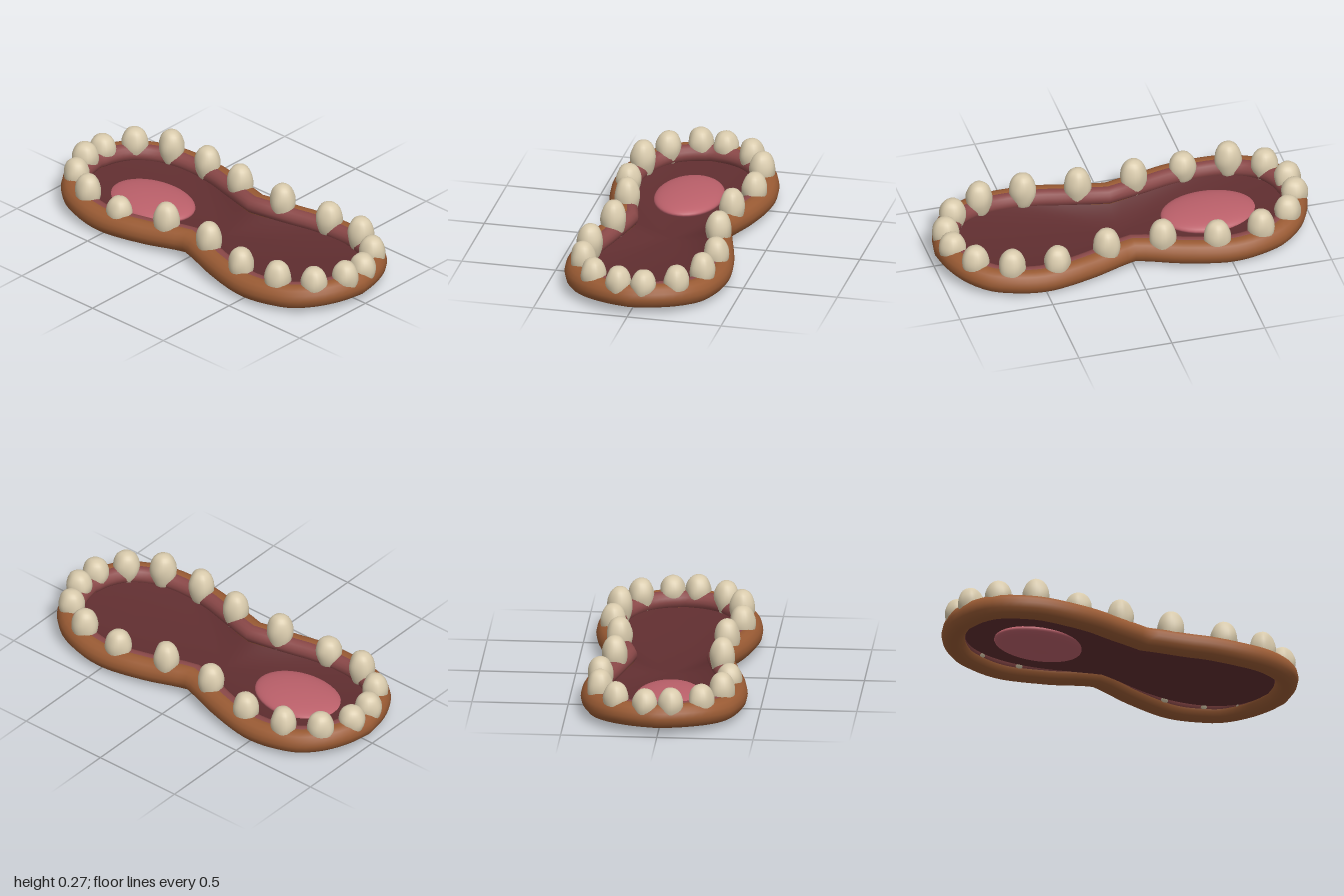
import * as THREE from 'three';
import { mergeVertices } from 'three/addons/utils/BufferGeometryUtils.js';

const paint = (name, color, side = THREE.FrontSide) => {
  const m = new THREE.MeshStandardMaterial({ color, side });
  m.name = name;
  return m;
};

// Outer edge: one quarter as a spline, mirrored into a closed loop with outward normals
function makeOutline() {
  const quarter = new THREE.CatmullRomCurve3([
    [1, 0], [0.975, 0.13], [0.91, 0.26], [0.8, 0.36], [0.65, 0.417], [0.5, 0.432],
    [0.35, 0.415], [0.2, 0.377], [0.1, 0.347], [0, 0.318],
  ].map(([x, z]) => new THREE.Vector3(x, 0, z))).getSpacedPoints(26);
  const half = [...quarter, ...quarter.slice(0, -1).reverse().map(p => new THREE.Vector3(-p.x, 0, p.z))];
  const loop = [...half, ...half.slice(1, -1).reverse().map(p => new THREE.Vector3(p.x, 0, -p.z))];
  const n = loop.length;
  return loop.map((p, i) => {
    const t = loop[(i + 1) % n].clone().sub(loop[(i + n - 1) % n]).normalize();
    return { p, normal: new THREE.Vector3(t.z, 0, -t.x) };
  });
}

// Height of the lip's centre line: low along the sides, raised at the waist and ends
const rimHeight = x => {
  const k = [0.092, 0.079, 0.072, 0.08, 0.098];
  const f = Math.min(Math.abs(x) * 4, 3.999);
  const i = Math.floor(f);
  return THREE.MathUtils.lerp(k[i], k[i + 1], THREE.MathUtils.smoothstep(f - i, 0, 1));
};

// Joins a closed loop of cross-sections into a surface
function loft(rows, closedSection) {
  const m = rows[0].length, n = rows.length, index = [];
  for (let i = 0; i < n; i++) {
    for (let j = 0; j < (closedSection ? m : m - 1); j++) {
      const a = i * m + j, b = i * m + (j + 1) % m;
      const c = ((i + 1) % n) * m + j, d = ((i + 1) % n) * m + (j + 1) % m;
      index.push(a, b, c, b, d, c);
    }
  }
  const g = new THREE.BufferGeometry().setFromPoints(rows.flat());
  g.setIndex(index);
  g.computeVertexNormals();
  return g;
}

// Round ring following the outline, set in from the edge
function ring(outline, inset, lift, radius, sides) {
  return loft(outline.map(({ p, normal }) => Array.from({ length: sides }, (_, j) => {
    const a = (j / sides) * Math.PI * 2;
    const v = p.clone().addScaledVector(normal, radius * Math.cos(a) - inset);
    v.y = rimHeight(p.x) + lift + radius * Math.sin(a);
    return v;
  })), true);
}

// Shallow dish from the middle out to the rim
function dish(outline) {
  return loft(outline.map(({ p, normal }) => Array.from({ length: 13 }, (_, j) => {
    const t = j / 12;
    const v = p.clone().addScaledVector(normal, -0.1).multiplyScalar(t);
    v.y = 0.02 + 0.065 * t ** 2;
    return v;
  })), false);
}

// Blunt, slightly lobed egg-shaped tooth, unit height
function toothGeometry() {
  const profile = new THREE.SplineCurve([
    [0, 0], [0.55, 0.04], [0.8, 0.18], [0.96, 0.38], [1, 0.54], [0.93, 0.7], [0.72, 0.87], [0.4, 0.97], [0, 1],
  ].map(([x, y]) => new THREE.Vector2(x, y))).getPoints(18);
  let g = new THREE.LatheGeometry(profile.map(p => new THREE.Vector2(Math.max(p.x, 0), p.y)), 24);
  g.deleteAttribute('uv');
  g.deleteAttribute('normal');
  g = mergeVertices(g, 1e-3);
  const pos = g.attributes.position;
  for (let i = 0; i < pos.count; i++) {
    const x = pos.getX(i), y = pos.getY(i), z = pos.getZ(i);
    const a = Math.atan2(z, x);
    const s = 1 + 0.025 * Math.cos(5 * a + 2 * y) + 0.02 * Math.sin(3 * a + 9 * y);
    pos.setXYZ(i, x * s, y, z * s);
  }
  g.computeVertexNormals();
  return g;
}

export function createModel() {
  const model = new THREE.Group();
  const lipPaint = paint('lip brown', 0x9a5b34);
  const gumPaint = paint('gum red', 0x8a4848);
  const floorPaint = paint('mouth maroon', 0x602e30, THREE.DoubleSide);
  const tonguePaint = paint('tongue pink', 0xbb606a);
  const toothPaint = paint('tooth ivory', 0xd8caac);
  const add = (name, geometry, material, parent = model) => {
    const mesh = new THREE.Mesh(geometry, material);
    mesh.name = name;
    parent.add(mesh);
    return mesh;
  };
  const outline = makeOutline();

  add('lip', ring(outline, 0.063, 0, 0.063, 14), lipPaint);
  add('gum', ring(outline, 0.092, 0.018, 0.046, 14), gumPaint);
  add('mouthFloor', dish(outline), floorPaint);

  // Tongue lying in one end, its underside showing below the floor
  const tongue = add('tongue', new THREE.SphereGeometry(1, 40, 24), tonguePaint);
  tongue.scale.set(0.255, 0.047, 0.18);
  tongue.position.set(-0.485, 0.049, 0.023);

  // Teeth: x, back z, front z, top height at back and front
  const teeth = new THREE.Group();
  teeth.name = 'teeth';
  model.add(teeth);
  const tooth = toothGeometry();
  let count = 0;
  for (const [x, back, front, backTop, frontTop] of [
    [0.15, -0.285, 0.275, 0.265, 0.27],
    [0.43, -0.338, 0.333, 0.243, 0.25],
    [0.67, -0.322, 0.313, 0.255, 0.255],
    [0.84, -0.225, 0.218, 0.246, 0.244],
    [0.92, -0.068, 0.066, 0.238, 0.246],
  ]) {
    const base = rimHeight(x) - 0.025;
    for (const side of [1, -1]) {
      for (const [z, top] of [[back, backTop], [front, side < 0 && x === 0.43 ? 0.222 : frontTop]]) {
        const t = add('tooth', tooth, toothPaint, teeth);
        t.position.set(side * x, base, z);
        t.scale.set(0.071, top - base, 0.066);
        t.rotation.y = (count++ % 5 - 2) * 0.2;
      }
    }
  }
  return model;
}
